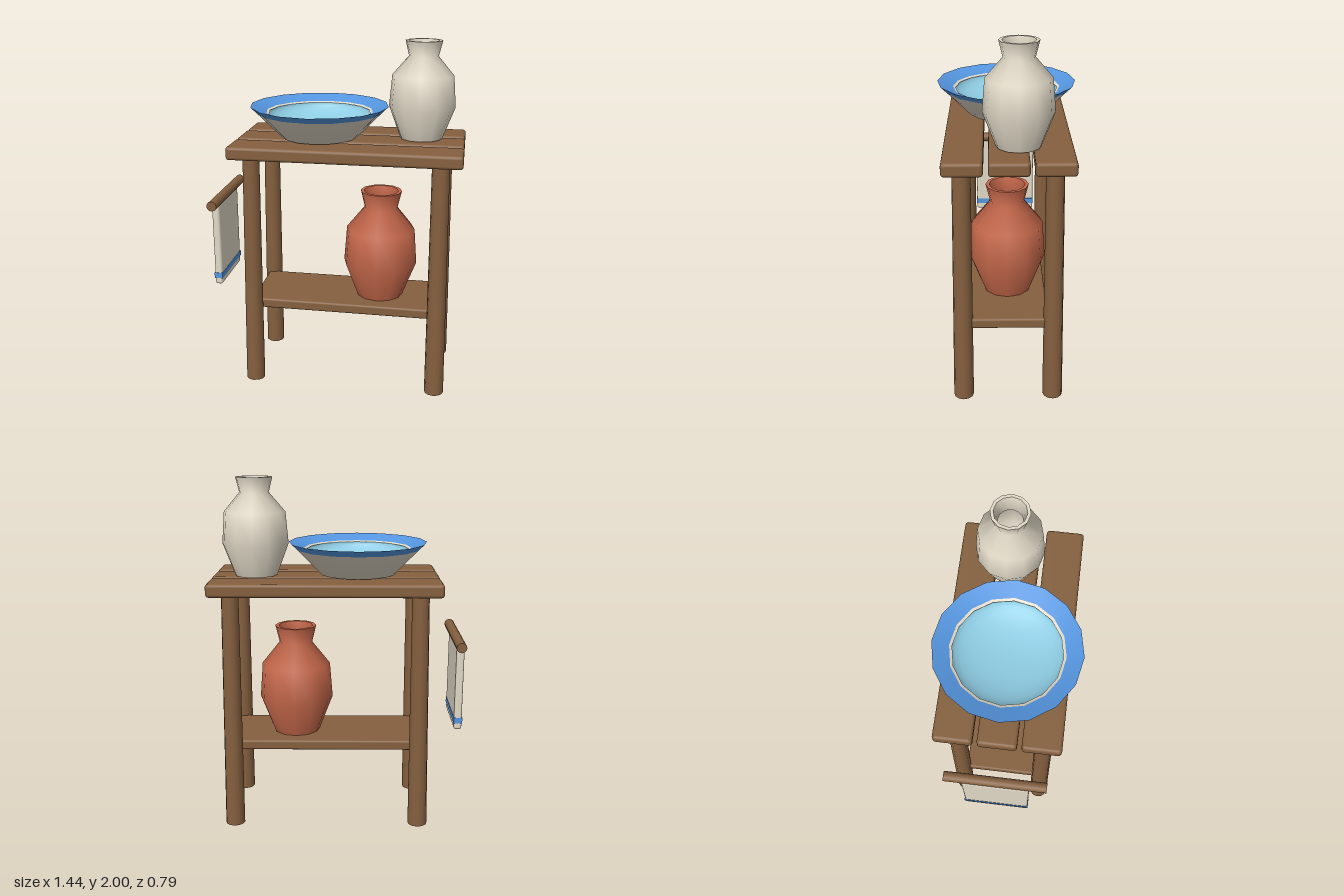
import * as THREE from 'three';
import { toCreasedNormals } from 'three/addons/utils/BufferGeometryUtils.js';
import { RoundedBoxGeometry } from 'three/addons/geometries/RoundedBoxGeometry.js';

const material = (name, color, side = THREE.FrontSide) => {
  const m = new THREE.MeshStandardMaterial({ color, side });
  m.name = name;
  return m;
};

export function createModel() {
  const wood = material('wood', 0x85603f);
  const cream = material('cream', 0xe2dac8);
  const clay = material('terracotta', 0xc4674a);
  const blue = material('blue', 0x5596e0);
  const water = material('water', 0x8fcde4, THREE.DoubleSide);

  const model = new THREE.Group();
  model.name = 'washstand';

  const add = (name, geometry, mat, x = 0, y = 0, z = 0, parent = model) => {
    const mesh = new THREE.Mesh(geometry, mat);
    mesh.name = name;
    mesh.position.set(x, y, z);
    parent.add(mesh);
    return mesh;
  };
  const slab = (w, h, d, r) => new RoundedBoxGeometry(w, h, d, 2, r);
  const lathe = (points, sides) => toCreasedNormals(
    new THREE.LatheGeometry(points.map(([r, y]) => new THREE.Vector2(r, y)), sides), 1.1);

  // Stand: three top planks, a shelf and four splayed legs
  const stand = new THREE.Group();
  stand.name = 'stand';
  stand.position.x = 0.069;
  model.add(stand);
  for (const i of [-1, 0, 1]) {
    add('topPlank', slab(1.292, 0.075, 0.21, 0.018), wood, 0, 1.412, i * 0.234 - 0.003, stand);
  }
  add('shelf', slab(1.11, 0.058, 0.43, 0.012), wood, 0, 0.474, 0, stand);
  const up = new THREE.Vector3(0, 1, 0);
  for (const sx of [-1, 1]) {
    for (const sz of [-1, 1]) {
      const foot = new THREE.Vector3(sx * 0.539, 0.001, sz * 0.251);
      const head = new THREE.Vector3(sx * 0.526, 1.39, sz * 0.238);
      const axis = head.clone().sub(foot);
      const leg = add('leg', new THREE.CylinderGeometry(0.048, 0.056, axis.length(), 12), wood, 0, 0, 0, stand);
      leg.position.copy(foot).add(head).multiplyScalar(0.5);
      leg.quaternion.setFromUnitVectors(up, axis.normalize());
    }
  }

  // Hollow jars: outside going up, over the lip, then down the inside
  add('creamJar', lathe([
    [0, 0], [0.12, 0], [0.187, 0.178], [0.172, 0.355], [0.082, 0.46], [0.103, 0.545],
    [0.086, 0.545], [0.066, 0.46], [0.15, 0.345], [0.165, 0.178], [0.1, 0.03], [0, 0.03],
  ], 12), cream, 0.466, 1.455, -0.055);
  add('clayJar', lathe([
    [0, 0], [0.138, 0], [0.216, 0.205], [0.2, 0.412], [0.096, 0.542], [0.12, 0.642],
    [0.1, 0.642], [0.078, 0.542], [0.175, 0.4], [0.19, 0.205], [0.115, 0.03], [0, 0.03],
  ], 12), clay, 0.25, 0.503, 0);

  // Basin: cream body, blue flared rim and a rounded hollow
  const basin = new THREE.Group();
  basin.name = 'basin';
  basin.position.set(-0.111, 1.455, 0);
  model.add(basin);
  add('basinBody', lathe([[0, 0], [0.217, 0], [0.358, 0.145]], 16), cream, 0, 0, 0, basin);
  add('basinRim', lathe([[0.358, 0.145], [0.394, 0.18], [0.305, 0.146]], 16), blue, 0, 0, 0, basin);
  add('basinInnerEdge', lathe([[0.305, 0.146], [0.29, 0.139]], 16), cream, 0, 0, 0, basin);
  const hollow = new THREE.SphereGeometry(0.297, 32, 8, 0, Math.PI * 2, Math.PI / 2, Math.PI / 2);
  hollow.scale(1, 0.34, 1);
  add('basinHollow', hollow, water, 0, 0.142, 0, basin);

  // Towel hanging from a rail
  const rail = add('towelRail', new THREE.CylinderGeometry(0.029, 0.029, 0.575, 12), wood, -0.687, 1.086, -0.002);
  rail.rotation.x = Math.PI / 2;
  add('towel', slab(0.045, 0.515, 0.38, 0.014), cream, -0.697, 0.823, 0);
  add('towelStripe', new THREE.BoxGeometry(0.049, 0.034, 0.384), blue, -0.697, 0.622, 0);

  return model;
}
